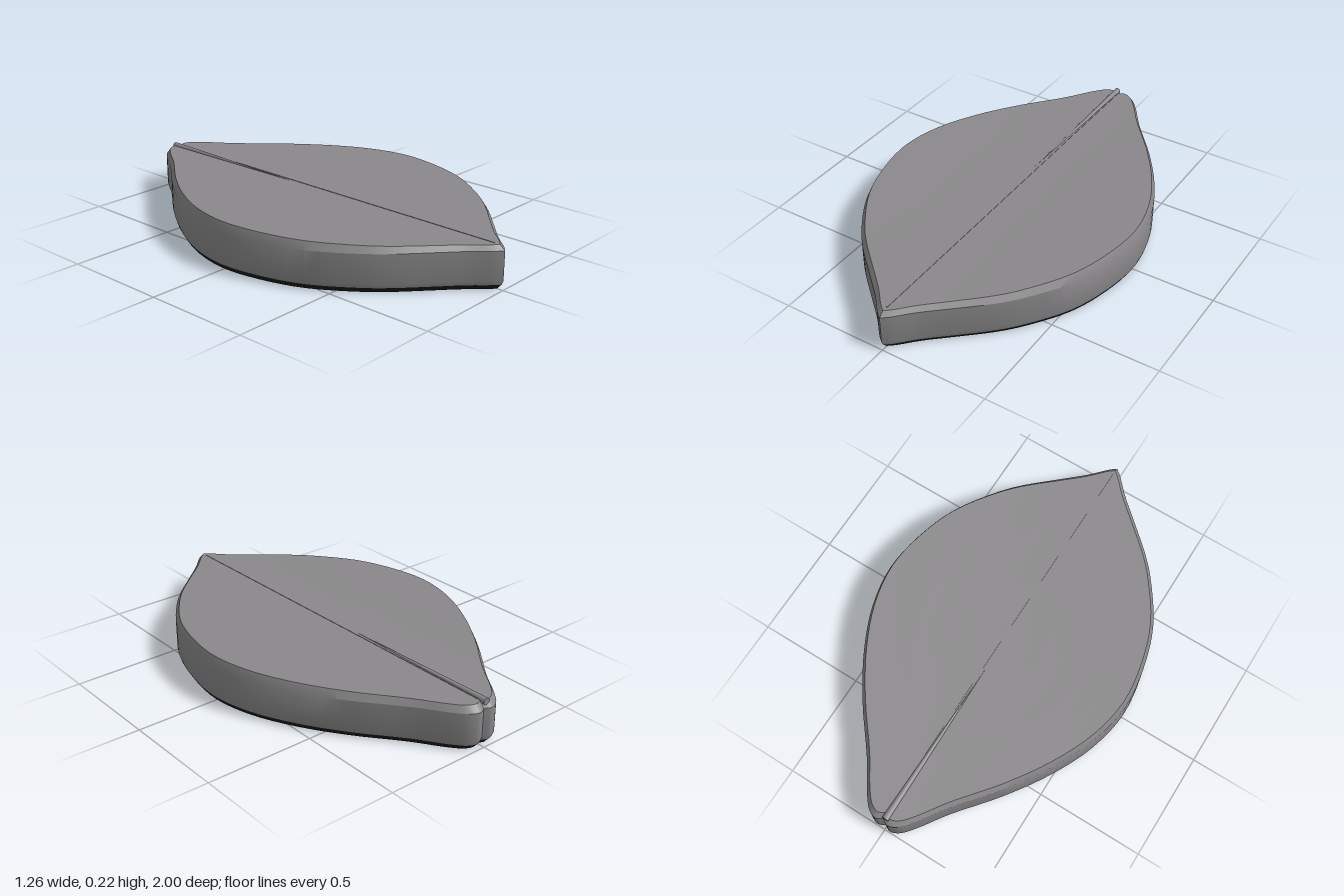
import * as THREE from 'three';
import { toCreasedNormals } from 'three/addons/utils/BufferGeometryUtils.js';

// Closed leaf outline, counter-clockwise seen from above, as [x, z]
function leafOutline() {
  const half = [
    [0, 1], [0.03, 0.975], [0.1, 0.9], [0.21, 0.8], [0.33, 0.69], [0.41, 0.6], [0.54, 0.4], [0.605, 0.2],
    [0.628, 0], [0.59, -0.2], [0.5, -0.4], [0.37, -0.6], [0.21, -0.8], [0.12, -0.93],
    [0.07, -0.985], [0.03, -1], [0, -0.985],
  ];
  const curve = new THREE.CatmullRomCurve3(half.map(([x, z]) => new THREE.Vector3(x, 0, z)));
  const right = curve.getPoints(64).map(p => [Math.max(0, p.x), THREE.MathUtils.clamp(p.z, -1, 1)]);
  const left = right.slice(1, -1).reverse().map(([x, z]) => [-x, z]);
  return right.concat(left);
}

// Skin a stack of scaled outlines; each ring is [scale, height, dish]
function loft(outline, rings) {
  const n = outline.length, pos = [], index = [];
  for (const [s, h, dish] of rings) {
    for (const [x, z] of outline) {
      const px = x * s, pz = z * s;
      pos.push(px, h + (dish ? 0.015 * (px / 0.6) ** 2 - 0.004 * pz : 0), pz);
    }
  }
  for (let r = 0; r < rings.length - 1; r++) {
    for (let i = 0; i < n; i++) {
      const j = (i + 1) % n, a = r * n, b = a + n;
      if (rings[r][0] > 0) index.push(a + i, a + j, b + j);
      if (rings[r + 1][0] > 0 || rings[r][0] === 0) index.push(a + i, b + j, b + i);
      else index.push(a + i, a + j, b + i);
    }
  }
  const g = new THREE.BufferGeometry();
  g.setAttribute('position', new THREE.Float32BufferAttribute(pos, 3));
  // Drop the zero-area triangles that collapse at the centre
  const v = i => new THREE.Vector3().fromArray(pos, i * 3);
  const tri = new THREE.Triangle(), kept = [];
  for (let i = 0; i < index.length; i += 3) {
    tri.set(v(index[i]), v(index[i + 1]), v(index[i + 2]));
    if (tri.getArea() > 1e-9) kept.push(index[i], index[i + 1], index[i + 2]);
  }
  g.setIndex(kept);
  return toCreasedNormals(g, 0.45);
}

export function createModel() {
  const leafGrey = new THREE.MeshStandardMaterial({ color: 0x8a888a });
  leafGrey.name = 'leaf grey';
  const undersideBlack = new THREE.MeshStandardMaterial({ color: 0x1a1a1a });
  undersideBlack.name = 'underside black';

  const group = new THREE.Group();
  group.name = 'leafSlab';
  const add = (name, geometry, material) => {
    const mesh = new THREE.Mesh(geometry, material);
    mesh.name = name;
    group.add(mesh);
    return mesh;
  };

  const outline = leafOutline();

  // Flat base with its lower bevel
  add('underside', loft(outline, [[0, 0], [0.97, 0], [0.992, 0.024]]), undersideBlack);

  // Upright rim, upper bevel and gently dished top
  add('leafBody', loft(outline, [
    [0.992, 0.024], [1, 0.042], [1, 0.175],
    [0.975, 0.2, true], [0.65, 0.2, true], [0.3, 0.2, true], [0, 0.2, true],
  ]), leafGrey);

  // Raised midrib, thick at the stem end and tapering to the middle
  const rib = new THREE.ConeGeometry(0.016, 0.8, 10);
  rib.rotateX(Math.PI / 2);
  add('midrib', rib, leafGrey).position.set(-0.014, 0.201, -0.585);

  // Fine vein carrying the midrib on to the front tip
  add('vein', new THREE.BoxGeometry(0.006, 0.004, 1.9), leafGrey).position.set(0, 0.2, 0);
  group.getObjectByName('vein').rotation.x = 0.004;

  return group;
}
